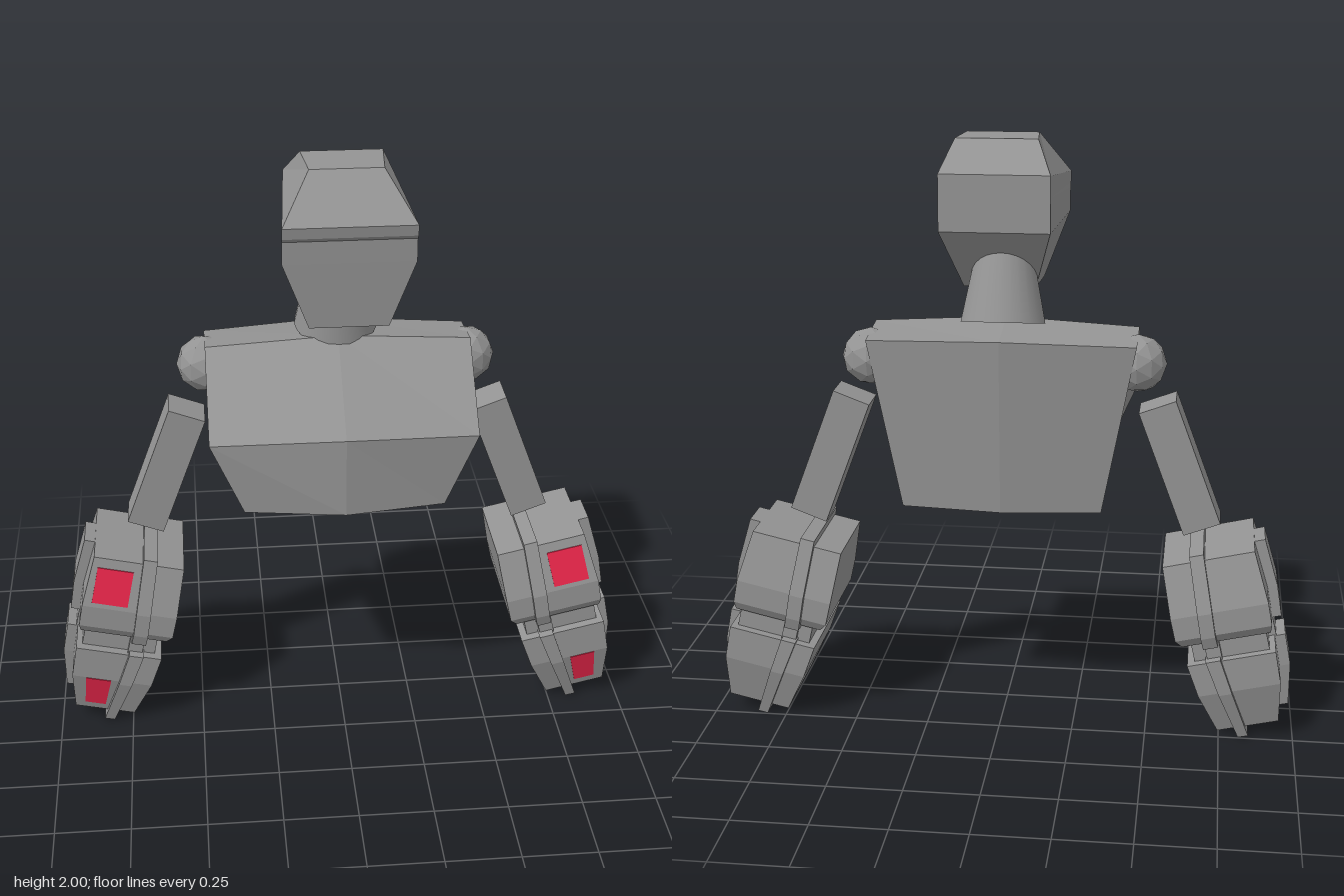
import * as THREE from 'three';

const grey = new THREE.MeshStandardMaterial({ color: 0x949494, flatShading: true });
grey.name = 'grey shell';
const smoothGrey = grey.clone();
smoothGrey.flatShading = false;
smoothGrey.name = 'grey smooth';
const red = new THREE.MeshStandardMaterial({ color: 0xe8264a });
red.name = 'red panel';

// Skin between matching rings, with fan caps at both ends.
function loft(rings) {
  const pos = [];
  const tri = (a, b, c) => pos.push(...a, ...b, ...c);
  const n = rings[0].length;
  for (let k = 0; k < rings.length - 1; k++) {
    const r = rings[k], q = rings[k + 1];
    for (let i = 0; i < n; i++) {
      const j = (i + 1) % n;
      tri(r[i], r[j], q[j]);
      tri(r[i], q[j], q[i]);
    }
  }
  const first = rings[0], last = rings[rings.length - 1];
  for (let i = 1; i < n - 1; i++) {
    tri(first[0], first[i + 1], first[i]);
    tri(last[0], last[i], last[i + 1]);
  }
  const g = new THREE.BufferGeometry();
  g.setAttribute('position', new THREE.Float32BufferAttribute(pos, 3));
  g.computeVertexNormals();
  return g;
}

function add(parent, name, geometry, material = grey) {
  const m = new THREE.Mesh(geometry, material);
  m.name = name;
  parent.add(m);
  return m;
}

// Tapered block from rows [y, x0, x1, z0, z1], bottom to top; s = -1 mirrors it.
function block(s, rows) {
  return loft(rows.map(([y, a, b, z0, z1]) => {
    const x0 = s > 0 ? a : -b, x1 = s > 0 ? b : -a;
    return [[x0, y, z1], [x1, y, z1], [x1, y, z0], [x0, y, z0]];
  }));
}

function buildHead(root) {
  // front: x0, x1, y, z; back: x0, x1, y, z
  const ring = (a, b, y, z, c, d, yb, zb) => [[a, y, z], [b, y, z], [d, yb, zb], [c, yb, zb]];
  add(root, 'head', loft([
    ring(-0.11, 0.15, 1.5, 0.15, -0.1, 0.14, 1.5, -0.05),
    ring(-0.195, 0.235, 1.725, 0.165, -0.165, 0.195, 1.715, -0.245),
    ring(-0.195, 0.235, 1.803, 0.168, -0.165, 0.195, 1.83, -0.245),
    ring(-0.195, 0.235, 1.818, 0.184, -0.165, 0.195, 1.85, -0.245),
    ring(-0.195, 0.235, 1.855, 0.19, -0.165, 0.195, 1.9, -0.245),
    ring(-0.1, 0.14, 2, 0.055, -0.115, 0.155, 2, -0.13),
  ]));
  const neck = add(root, 'neck', new THREE.CylinderGeometry(0.085, 0.14, 0.28, 24), smoothGrey);
  neck.position.set(0, 1.535, -0.1);
  neck.rotation.x = 0.22;
}

function buildTorso(root) {
  const side = (s) => [
    [s * 0.445, 1.37, -0.02], [s * 0.445, 1.13, 0.235], [s * 0.335, 0.88, 0.235],
    [s * 0.335, 0.765, -0.18], [s * 0.445, 1.345, -0.215],
  ];
  const middle = [[0, 1.395, -0.02], [0, 1.155, 0.285], [0, 0.88, 0.285], [0, 0.765, -0.215], [0, 1.36, -0.255]];
  add(root, 'torso', loft([side(-1), middle, side(1)]));
}

function buildFist(s) {
  const fist = new THREE.Group();
  fist.name = s > 0 ? 'leftFist' : 'rightFist';

  // main halves and the joint between them
  add(fist, 'upperFist', block(s, [
    [0, -0.155, 0.145, -0.2, 0.2],
    [0.03, -0.172, 0.155, -0.218, 0.218],
    [0.11, -0.172, 0.158, -0.218, 0.218],
    [0.28, -0.166, 0.145, -0.17, 0.17],
  ]));
  add(fist, 'fistJoint', block(s, [[-0.08, -0.125, 0.13, -0.185, 0.185], [0.01, -0.125, 0.13, -0.185, 0.185]]));
  add(fist, 'lowerFist', block(s, [
    [-0.33, -0.1, 0.11, -0.18, 0.18],
    [-0.18, -0.135, 0.145, -0.218, 0.218],
    [-0.065, -0.15, 0.15, -0.218, 0.218],
  ]));

  // raised band around each half
  add(fist, 'upperBand', block(s, [
    [-0.012, -0.085, -0.035, -0.225, 0.225],
    [0.03, -0.085, -0.035, -0.238, 0.238],
    [0.115, -0.08, -0.03, -0.238, 0.238],
    [0.305, -0.07, -0.022, -0.185, 0.185],
  ]));
  add(fist, 'bandJoint', block(s, [[-0.07, -0.08, -0.03, -0.205, 0.205], [0, -0.08, -0.03, -0.205, 0.205]]));
  add(fist, 'lowerBand', block(s, [
    [-0.36, -0.035, 0, -0.195, 0.195],
    [-0.18, -0.065, -0.02, -0.238, 0.238],
    [-0.055, -0.085, -0.035, -0.238, 0.238],
  ]));

  // raised rib down the outer side
  add(fist, 'upperRib', block(s, [
    [0, 0.1, 0.185, -0.07, 0.07],
    [0.11, 0.1, 0.192, -0.07, 0.07],
    [0.278, 0.1, 0.182, -0.065, 0.065],
  ]));
  add(fist, 'ribJoint', block(s, [[-0.07, 0.1, 0.155, -0.07, 0.07], [0, 0.1, 0.155, -0.07, 0.07]]));
  add(fist, 'lowerRib', block(s, [
    [-0.33, 0.08, 0.147, -0.055, 0.055],
    [-0.18, 0.1, 0.182, -0.07, 0.07],
    [-0.068, 0.1, 0.186, -0.07, 0.07],
  ]));

  // red panels on the front and under the tip
  add(fist, 'upperPanel', block(s, [
    [0.126, 0.003, 0.127, 0.209, 0.2165],
    [0.247, 0.003, 0.127, 0.175, 0.1825],
  ]), red);
  add(fist, 'lowerPanel', block(s, [
    [-0.303, 0.008, 0.08, 0.183, 0.19],
    [-0.182, 0.008, 0.096, 0.2135, 0.2205],
  ]), red);
  for (const z of [-0.115, 0, 0.115]) {
    add(fist, 'tipPanel', block(s, [
      [-0.333, 0.035, 0.095, z - 0.032, z + 0.032],
      [-0.328, 0.035, 0.095, z - 0.032, z + 0.032],
    ]), red);
  }
  fist.position.set(s * 0.77, 0.36, -0.05);
  fist.rotation.z = s * 0.225;
  return fist;
}

export function createModel() {
  const root = new THREE.Group();
  root.name = 'robotBust';
  buildHead(root);
  buildTorso(root);
  for (const s of [1, -1]) {
    const arm = new THREE.Group();
    arm.name = s > 0 ? 'leftArm' : 'rightArm';
    add(arm, 'shoulder', new THREE.IcosahedronGeometry(0.097, 1)).position.set(s * 0.445, 1.27, -0.115);
    const upper = add(arm, 'upperArm', new THREE.BoxGeometry(0.13, 0.45, 0.135));
    upper.position.set(s * 0.593, 0.915, -0.07);
    upper.rotation.z = s * 0.36;
    arm.add(buildFist(s));
    root.add(arm);
  }
  return root;
}
